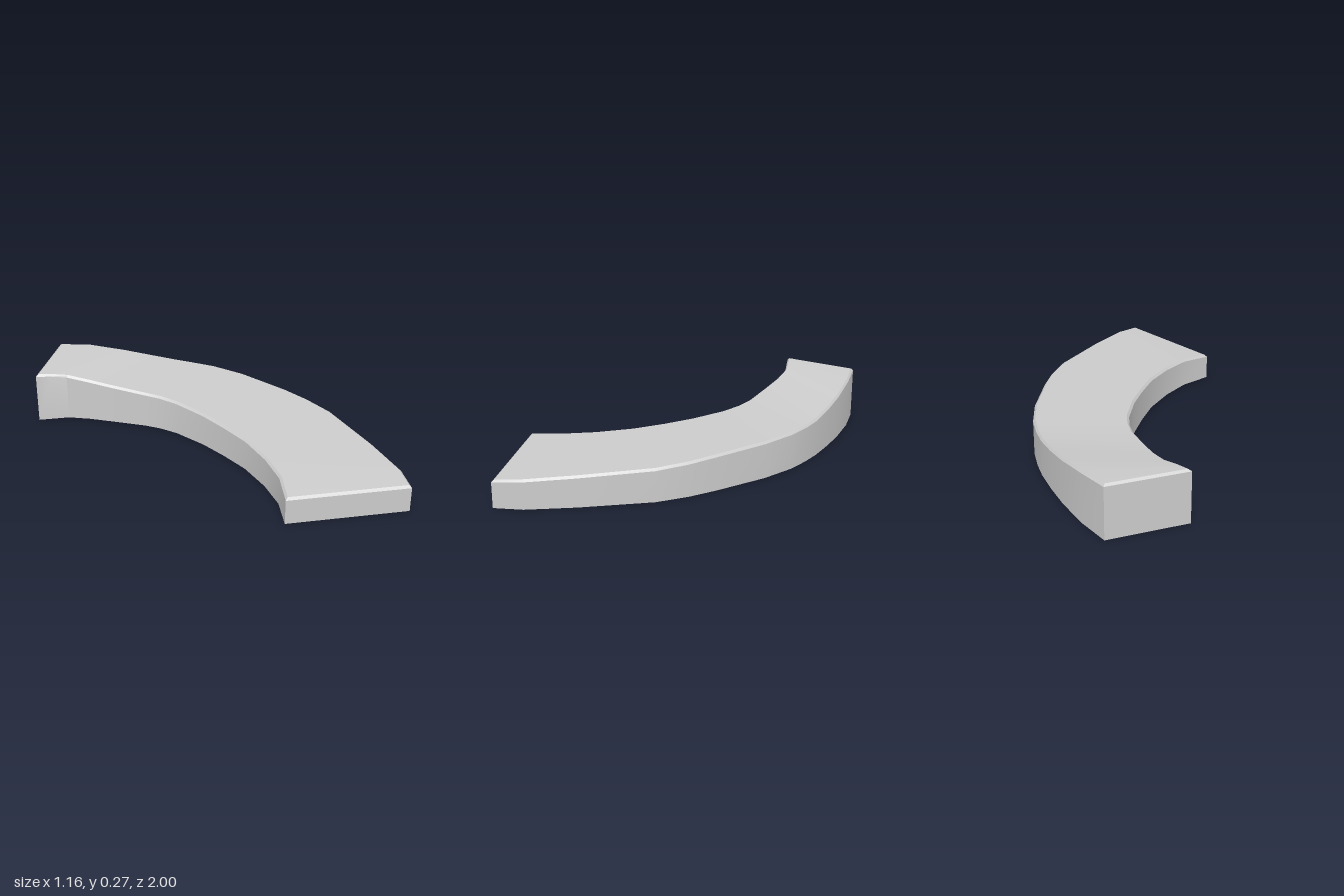
import * as THREE from 'three';
import { toCreasedNormals } from 'three/addons/utils/BufferGeometryUtils.js';

// Cross-sections from front to back: outer x, z, height, inner x, z, height
const SECTIONS = [
  [0.47, 1.0, 0.135, -0.075, 0.77, 0.135],
  [0.52, 0.87, 0.143, 0.0, 0.62, 0.149],
  [0.553, 0.63, 0.152, 0.035, 0.46, 0.156],
  [0.578, 0.28, 0.163, 0.047, 0.28, 0.163],
  [0.555, 0.12, 0.17, 0.03, 0.12, 0.168],
  [0.517, -0.02, 0.177, 0.005, -0.03, 0.174],
  [0.43, -0.28, 0.184, -0.045, -0.2, 0.181],
  [0.35, -0.44, 0.187, -0.09, -0.29, 0.186],
  [0.28, -0.535, 0.189, -0.145, -0.365, 0.19],
  [0.21, -0.615, 0.194, -0.27, -0.5, 0.212],
  [0.11, -0.71, 0.21, -0.35, -0.585, 0.228],
  [0.0, -0.805, 0.231, -0.435, -0.66, 0.248],
  [-0.15, -0.915, 0.258, -0.51, -0.692, 0.26],
  [-0.3, -1.0, 0.268, -0.58, -0.722, 0.266],
];
const BEVEL = 0.011;

function buildShell() {
  const n = SECTIONS.length;
  const outer = SECTIONS.map(([x, z, h]) => new THREE.Vector3(x, h, z));
  const inner = SECTIONS.map((s) => new THREE.Vector3(s[3], s[5], s[4]));

  // Closed outline, counter-clockwise from above
  const outline = [...outer, ...inner.slice().reverse()];
  const count = outline.length;

  // Pull each edge point across the strip, and the end points along it too
  const inset = outline.map((p, k) => {
    const i = k < n ? k : count - 1 - k;
    const side = k < n ? outer : inner;
    const across = (k < n ? inner : outer)[i].clone().sub(p).setY(0).setLength(BEVEL);
    const q = p.clone().add(across);
    if (i === 0) q.add(side[1].clone().sub(p).setLength(BEVEL));
    if (i === n - 1) q.add(side[n - 2].clone().sub(p).setLength(BEVEL));
    return q;
  });

  const positions = [];
  const index = [];
  const quad = (a, b, c, d) => index.push(a, b, c, a, c, d);
  outline.forEach((p) => positions.push(p.x, 0, p.z));
  outline.forEach((p) => positions.push(p.x, p.y - BEVEL, p.z));
  inset.forEach((p) => positions.push(p.x, p.y, p.z));

  // Side walls, then the bevel above them
  for (let ring = 0; ring < 2; ring++) {
    for (let k = 0; k < count; k++) {
      const a = ring * count + k;
      const b = ring * count + ((k + 1) % count);
      quad(a, b, b + count, a + count);
    }
  }
  // Sloping top surface; the underside stays open
  const top = 2 * count;
  for (let i = 0; i < n - 1; i++) {
    quad(top + i, top + i + 1, top + count - 2 - i, top + count - 1 - i);
  }

  const geometry = new THREE.BufferGeometry();
  geometry.setAttribute('position', new THREE.Float32BufferAttribute(positions, 3));
  geometry.setIndex(index);
  return toCreasedNormals(geometry, 0.6);
}

export function createModel() {
  const group = new THREE.Group();
  group.name = 'curvedRamp';
  const grey = new THREE.MeshStandardMaterial({ color: 0xcccccc, side: THREE.DoubleSide });
  grey.name = 'light grey';
  const shell = new THREE.Mesh(buildShell(), grey);
  shell.name = 'rampShell';
  group.add(shell);
  return group;
}
